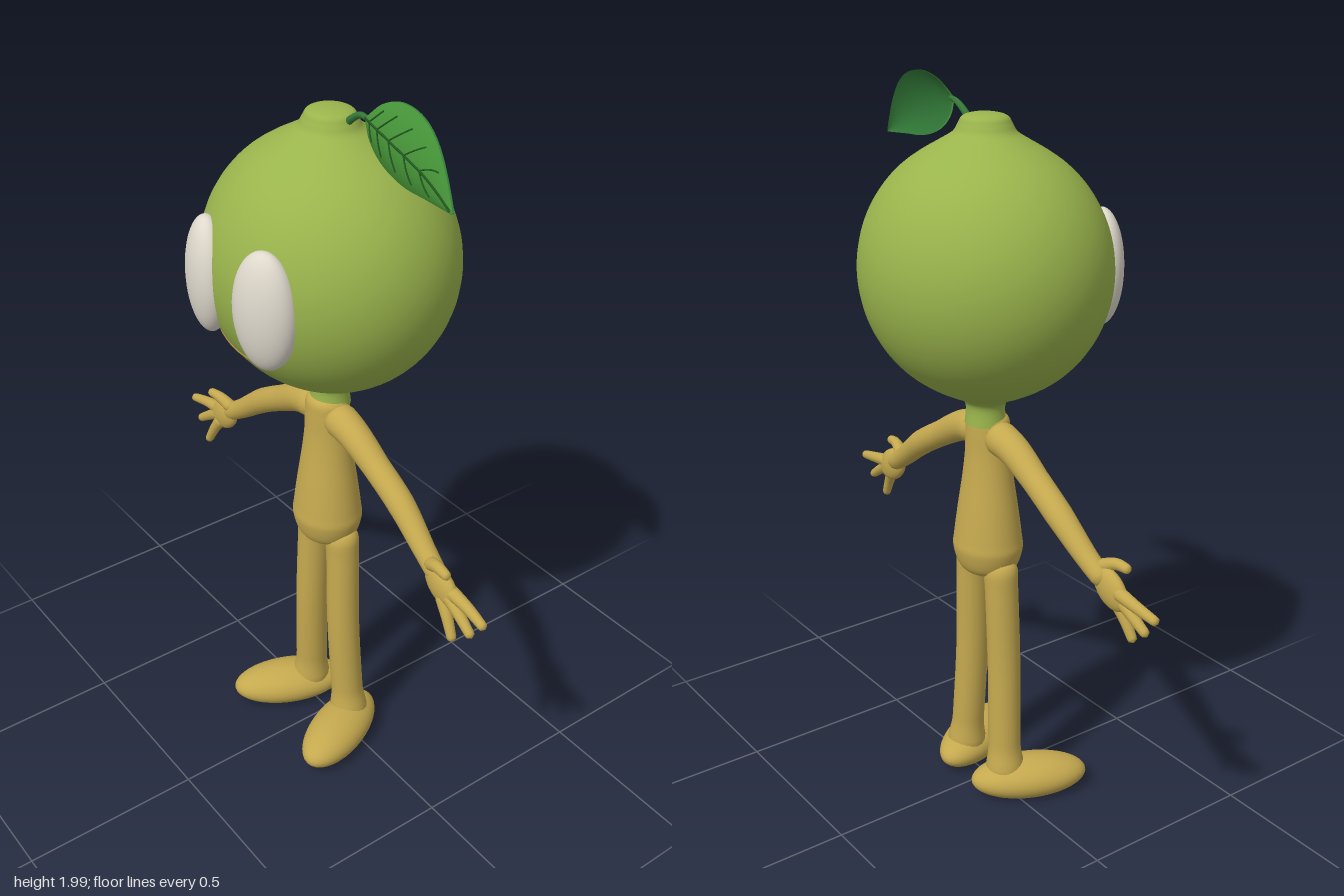
import * as THREE from 'three';
import { mergeVertices } from 'three/addons/utils/BufferGeometryUtils.js';
import { ParametricGeometry } from 'three/addons/geometries/ParametricGeometry.js';

const mat = (name, color, side = THREE.FrontSide) => {
  const m = new THREE.MeshStandardMaterial({ color, side });
  m.name = name;
  return m;
};
const V = (x, y, z = 0) => new THREE.Vector3(x, y, z);

function part(parent, name, geometry, material) {
  const mesh = new THREE.Mesh(geometry, material);
  mesh.name = name;
  parent.add(mesh);
  return mesh;
}

function smooth(geometry) {
  geometry.deleteAttribute('uv');
  geometry.deleteAttribute('normal');
  const g = mergeVertices(geometry, 1e-5);
  g.computeVertexNormals();
  return g;
}

// Round-ended limb through [x, y, z, radius] stations
function limb(stations, segments = 40, sides = 20) {
  const curve = new THREE.CatmullRomCurve3(stations.map(s => V(s[0], s[1], s[2])));
  const g = new THREE.TubeGeometry(curve, segments, 1, sides);
  const p = g.attributes.position, length = curve.getLength(), v = V(0, 0);
  for (let i = 0; i <= segments; i++) {
    const u = i / segments, c = curve.getPointAt(u);
    const t = curve.getUtoTmapping(u) * (stations.length - 1);
    const k = Math.min(Math.floor(t), stations.length - 2);
    let r = THREE.MathUtils.lerp(stations[k][3], stations[k + 1][3], t - k);
    const end = Math.min(u, 1 - u) * length;
    if (end < r) r *= Math.sqrt(Math.max(0, 1 - (1 - end / r) ** 2));
    for (let j = 0; j <= sides; j++) {
      const n = i * (sides + 1) + j;
      v.fromBufferAttribute(p, n).sub(c).multiplyScalar(r).add(c);
      p.setXYZ(n, v.x, v.y, v.z);
    }
  }
  return smooth(g);
}

// Lathe through a smoothed profile, squashed front to back
function turned(points, depth, steps = 80) {
  const profile = new THREE.SplineCurve(points.map(q => new THREE.Vector2(...q))).getPoints(steps);
  profile.forEach(q => { q.x = Math.max(q.x, 0); });
  return smooth(new THREE.LatheGeometry(profile, 56).scale(1, 1, depth));
}

const spline2 = pts => new THREE.SplineCurve(pts.map(q => new THREE.Vector2(...q)));

export function createModel() {
  const group = new THREE.Group();
  group.name = 'fruitFigure';
  const rind = mat('rind green', 0x9ab44c);
  const skin = mat('body ochre', 0xc5a94f);
  const white = mat('eye white', 0xdfd9cc);
  const lip = mat('mouth tan', 0xb58a40);
  const leafTop = mat('leaf green', 0x459237, THREE.DoubleSide);
  const leafUnder = mat('leaf underside green', 0x327a38, THREE.DoubleSide);
  const dark = mat('vein green', 0x23591f);
  const stemGreen = mat('stem green', 0x357838);

  // Round head running into the neck below and the crown knob above
  const profile = [[0.058, 1.115], [0.055, 1.165], [0.075, 1.19], [0.12, 1.209]];
  for (let a = -60; a <= 60; a += 10) {
    const r = THREE.MathUtils.degToRad(a);
    profile.push([0.342 * Math.cos(r), 1.53 + 0.34 * Math.sin(r)]);
  }
  profile.push([0.12, 1.853], [0.085, 1.874], [0.071, 1.895], [0.06, 1.912], [0.035, 1.92], [0, 1.923]);
  part(group, 'head', turned(profile, 0.935, 130), rind).position.z = -0.008;

  // Mouth line lying on the head
  const mouthPoints = [];
  for (let i = -6; i <= 6; i++) {
    const x = i * 0.019, y = 1.344 + 1.2 * x * x;
    const z = -0.008 + 0.32 * Math.sqrt(1 - (x / 0.342) ** 2 - ((y - 1.53) / 0.34) ** 2);
    mouthPoints.push(V(x, y, z));
  }
  part(group, 'mouth', new THREE.TubeGeometry(new THREE.CatmullRomCurve3(mouthPoints), 30, 0.003, 6), lip);

  // Pear-shaped torso
  part(group, 'torso', turned([[0, 0.668], [0.05, 0.677], [0.085, 0.7], [0.102, 0.75], [0.099, 0.79],
    [0.088, 0.87], [0.074, 0.96], [0.066, 1.03], [0.064, 1.09], [0.06, 1.125], [0.04, 1.14], [0, 1.145]], 0.9), skin);

  for (const s of [1, -1]) {
    const side = s > 0 ? 'left' : 'right';

    // Bulging eye turned to follow the head
    const eye = part(group, side + 'Eye', new THREE.SphereGeometry(1, 40, 28), white);
    eye.scale.set(0.088, 0.155, 0.056);
    eye.position.set(s * 0.123, 1.52, 0.271);
    eye.rotation.y = s * 0.35;

    // Leg
    part(group, side + 'Leg', limb([[s * 0.06, 0.74, -0.003, 0.05], [s * 0.067, 0.65, -0.003, 0.046],
      [s * 0.077, 0.4, 0, 0.046], [s * 0.09, 0.15, -0.007, 0.046], [s * 0.095, 0.09, -0.008, 0.056],
      [s * 0.097, 0.03, -0.008, 0.056]]), skin);

    // Foot with a flat sole, toes turned out
    const footGeometry = new THREE.SphereGeometry(1, 36, 24).scale(0.08, 0.06, 0.168);
    const fp = footGeometry.attributes.position;
    for (let i = 0; i < fp.count; i++) fp.setY(i, Math.max(fp.getY(i), -0.048));
    const foot = part(group, side + 'Foot', smooth(footGeometry), skin);
    foot.position.set(s * 0.129, 0.053, 0.052);
    foot.rotation.y = s * 0.42;

    // Arm
    part(group, side + 'Arm', limb([[s * 0.02, 1.09, 0, 0.05], [s * 0.11, 1.07, 0, 0.043],
      [s * 0.21, 1.017, -0.002, 0.037], [s * 0.314, 0.955, -0.004, 0.036],
      [s * 0.42, 0.876, 0.002, 0.029], [s * 0.49, 0.83, 0.008, 0.026]]), skin);

    // Hand: flattened palm, thumb and three fingers
    const hand = new THREE.Group();
    hand.name = side + 'Hand';
    group.add(hand);
    const palm = part(hand, 'palm', new THREE.SphereGeometry(1, 24, 16), skin);
    palm.scale.set(0.066, 0.046, 0.024);
    palm.position.set(s * 0.5, 0.822, 0.012);
    palm.rotation.z = -s * 0.6;
    const digits = [
      ['thumb', [0.45, 0.862, 0.012], [0.5, 0.885, 0.026], [0.548, 0.884, 0.032]],
      ['upperFinger', [0.52, 0.825, 0.01], [0.6, 0.812, 0.01], [0.672, 0.797, 0.016]],
      ['middleFinger', [0.52, 0.815, 0.014], [0.575, 0.78, 0.016], [0.632, 0.742, 0.02]],
      ['lowerFinger', [0.505, 0.805, 0.016], [0.54, 0.755, 0.024], [0.573, 0.695, 0.03]],
    ];
    for (const [name, a, b, c] of digits) {
      const pts = [[a, 0.02], [b, 0.0155], [c, 0.012]].map(([q, r]) => [s * q[0], q[1], q[2], r]);
      part(hand, name, limb(pts, 20, 12), skin);
    }
  }

  // Curved leaf stalk beside the crown
  const leaf = new THREE.Group();
  leaf.name = 'leaf';
  group.add(leaf);
  part(leaf, 'stalk', limb([[0.045, 1.885, -0.014, 0.011], [0.075, 1.912, -0.014, 0.009],
    [0.11, 1.932, -0.012, 0.008], [0.165, 1.938, 0.002, 0.006]], 24, 10), stemGreen);

  // Leaf blade between an upper and a lower edge, bulging forward
  const upper = spline2([[0.143, 1.939], [0.19, 1.982], [0.255, 1.998], [0.33, 1.978], [0.395, 1.92], [0.456, 1.814]]);
  const lower = spline2([[0.143, 1.939], [0.165, 1.893], [0.215, 1.852], [0.29, 1.826], [0.37, 1.82], [0.456, 1.814]]);
  const blade = (u, v, target, lift = 0) => {
    const a = lower.getPoint(u), b = upper.getPoint(u);
    const arch = Math.sin(Math.PI * u);
    const z = arch * (THREE.MathUtils.lerp(0.008, -0.026, v) + 0.1 * v * (1 - v)) + lift;
    return target.set(a.x + (b.x - a.x) * v, a.y + (b.y - a.y) * v, z);
  };
  part(leaf, 'leafFront', new ParametricGeometry((u, v, t) => blade(u, v, t), 32, 12), leafTop);
  part(leaf, 'leafBack', new ParametricGeometry((u, v, t) => blade(u, v, t, -0.005), 32, 12), leafUnder);

  // Midrib and paired side veins
  const vein = (name, u0, v0, u1, v1, r) => {
    const pts = [];
    for (let i = 0; i <= 8; i++) {
      const k = i / 8;
      pts.push(blade(u0 + (u1 - u0) * k, v0 + (v1 - v0) * k, V(0, 0), 0.001));
    }
    part(leaf, name, new THREE.TubeGeometry(new THREE.CatmullRomCurve3(pts), 16, r, 6), dark);
  };
  vein('midrib', 0.02, 0.5, 0.97, 0.5, 0.003);
  for (let i = 0; i < 5; i++) {
    const u = 0.16 + i * 0.14;
    vein('upperVein', u, 0.5, u + 0.11, 0.84, 0.002);
    vein('lowerVein', u, 0.5, u + 0.11, 0.16, 0.002);
  }
  return group;
}
